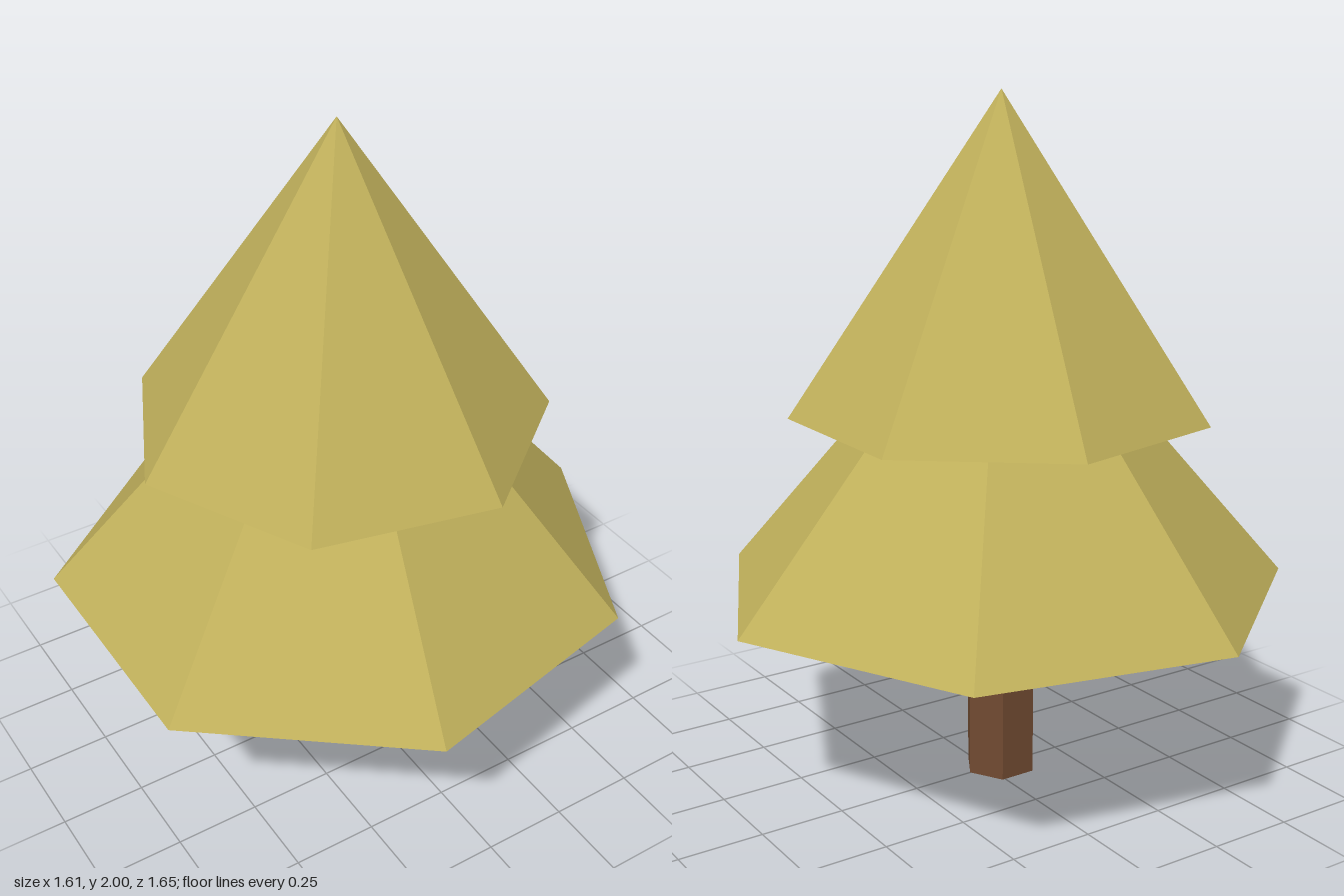
import * as THREE from 'three';

const CENTER_X = -0.045;

export function createModel() {
  const tree = new THREE.Group();
  tree.name = 'tree';

  const foliage = new THREE.MeshStandardMaterial({ color: 0xc0b05b, flatShading: true });
  foliage.name = 'foliage';
  const bark = new THREE.MeshStandardMaterial({ color: 0x704a31, flatShading: true });
  bark.name = 'bark';

  // Adds a faceted part standing on baseY, with one corner at the given angle
  function addPart(name, geometry, material, baseY, height) {
    const mesh = new THREE.Mesh(geometry, material);
    mesh.name = name;
    mesh.position.set(CENTER_X, baseY + height / 2, 0);
    tree.add(mesh);
  }

  // Six-sided trunk
  addPart('trunk', new THREE.CylinderGeometry(0.108, 0.108, 0.6, 6, 1, false, Math.PI / 2), bark, 0, 0.6);

  // Two seven-sided tiers, turned half a revolution from each other
  addPart('lowerFoliage', new THREE.ConeGeometry(0.845, 0.98, 7, 1, false, Math.PI / 2), foliage, 0.583, 0.98);
  addPart('upperFoliage', new THREE.ConeGeometry(0.605, 0.903, 7, 1, false, -Math.PI / 2), foliage, 1.097, 0.903);

  return tree;
}
